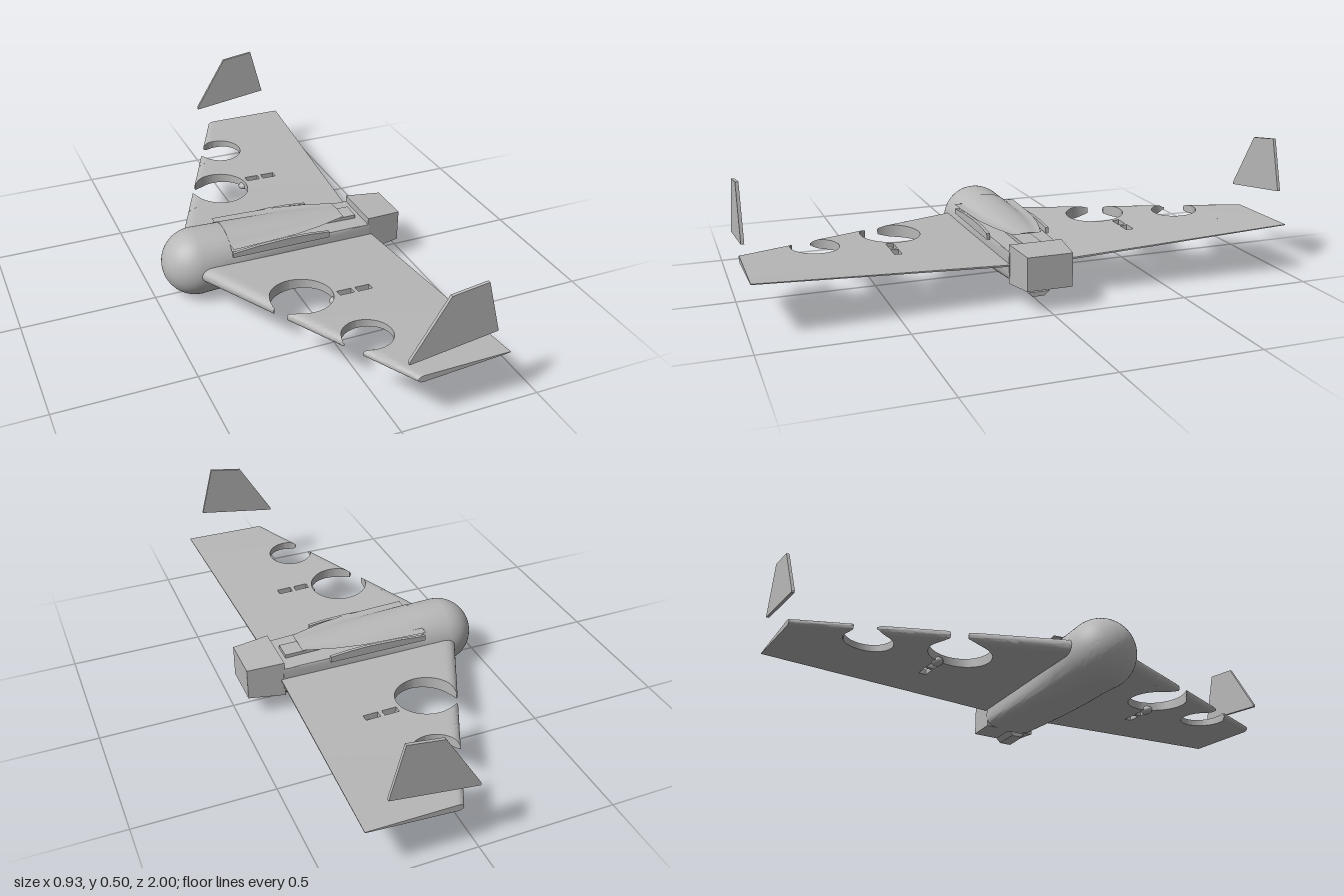
import * as THREE from 'three';
import { toCreasedNormals } from 'three/addons/utils/BufferGeometryUtils.js';

const grey = new THREE.MeshStandardMaterial({ color: 0xb8b8b8 });
grey.name = 'foam grey';
const lerp = THREE.MathUtils.lerp;

// Solid skin over a list of equal-length rings, with closed ends
function loft(rings, crease = 0.6) {
  const pos = [], n = rings[0].length;
  const tri = (a, b, c) => pos.push(...a, ...b, ...c);
  const mid = (r) => [0, 1, 2].map((k) => r.reduce((s, p) => s + p[k], 0) / n);
  for (let i = 0; i < rings.length - 1; i++) {
    for (let j = 0; j < n; j++) {
      const k = (j + 1) % n, a = rings[i], b = rings[i + 1];
      tri(a[j], b[j], b[k]);
      tri(a[j], b[k], a[k]);
    }
  }
  const first = rings[0], last = rings[rings.length - 1], m0 = mid(first), m1 = mid(last);
  for (let j = 0; j < n; j++) {
    const k = (j + 1) % n;
    tri(m0, first[j], first[k]);
    tri(m1, last[k], last[j]);
  }
  // Turn the faces outward when the enclosed volume comes out negative
  let volume = 0;
  const v = (i) => new THREE.Vector3(pos[i] - m0[0], pos[i + 1] - m0[1], pos[i + 2] - m0[2]);
  for (let i = 0; i < pos.length; i += 9) volume += v(i).dot(v(i + 3).cross(v(i + 6)));
  if (volume < 0) {
    for (let i = 0; i < pos.length; i += 9) {
      for (let k = 0; k < 3; k++) [pos[i + 3 + k], pos[i + 6 + k]] = [pos[i + 6 + k], pos[i + 3 + k]];
    }
  }
  const g = new THREE.BufferGeometry();
  g.setAttribute('position', new THREE.Float32BufferAttribute(pos, 3));
  return toCreasedNormals(g, crease);
}

// Superellipse fuselage section, cut off below lo and above hi
function section(x, bottom, top, w, e, lo = -1, hi = 1) {
  const ring = [], yc = (bottom + top) / 2, h = (top - bottom) / 2;
  const pow = (c) => Math.sign(c) * Math.abs(c) ** (2 / e);
  for (let i = 0; i < 64; i++) {
    const a = (i / 64) * Math.PI * 2;
    const y = yc + h * pow(Math.sin(a));
    ring.push([x, Math.min(hi, Math.max(lo, y)), w * pow(Math.cos(a))]);
  }
  return ring;
}

// Wing plan and aerofoil
const leading = (z) => lerp(-0.365, 0.055, (z - 0.1) / 0.885);
const trailing = (z) => lerp(0.34, 0.385, (z - 0.1) / 0.885);
function wingY(x, z, side) {
  const t = (z - 0.1) / 0.885;
  const s = THREE.MathUtils.clamp((x - leading(z)) / (trailing(z) - leading(z)), 0, 1);
  const nose = 0.06;
  const shape = s < nose ? Math.sqrt(1 - (1 - s / nose) ** 2) : 1 - 0.9 * (s - nose) / (1 - nose);
  return lerp(lerp(0.127, 0.177, t), lerp(0.137, 0.19, t), s) + side * lerp(0.029, 0.012, t) * shape;
}

// Piece of wing between two stations and two chordwise limits
function wingPanel(z0, z1, front, back, sign) {
  const rings = [], steps = 14, n = 20;
  for (let i = 0; i <= steps; i++) {
    const z = lerp(z0, z1, (1 - Math.cos((i / steps) * Math.PI)) / 2);
    const a = front(z), b = Math.max(back(z), a + 0.001), ring = [];
    for (let j = 0; j <= n; j++) {
      const x = lerp(a, b, (j / n) ** 2);
      ring.push([x, wingY(x, z, 1) + 0.0003, sign * z]);
    }
    for (let j = n; j >= 0; j--) {
      const x = lerp(a, b, (j / n) ** 2);
      ring.push([x, wingY(x, z, -1) - 0.0003, sign * z]);
    }
    rings.push(ring);
  }
  return loft(rings);
}

// Plate with an outline in x and y, centred on a z position
function plate(points, depth, z) {
  const shape = new THREE.Shape(points.map((p) => new THREE.Vector2(...p)));
  return new THREE.ExtrudeGeometry(shape, { depth, bevelEnabled: false }).translate(0, 0, z - depth / 2);
}

export function createModel() {
  const model = new THREE.Group();
  const add = (name, geometry, parent = model) => {
    const mesh = new THREE.Mesh(geometry, grey);
    mesh.name = name;
    parent.add(mesh);
    return mesh;
  };

  // Round nose running back to the start of the hatch slot
  const bottomAt = (x) => lerp(0, 0.08, (x + 0.34) / 0.8);
  const topAt = (x) => lerp(0.252, 0.217, (x + 0.34) / 0.57);
  const widthAt = (x) => lerp(0.126, 0.1, (x + 0.34) / 0.665);
  const noseRings = [];
  for (let i = 0; i <= 14; i++) {
    const a = (i / 14) * Math.PI / 2, r = Math.max(0.001, 0.126 * Math.sin(a));
    noseRings.push(section(-0.339 - 0.126 * Math.cos(a), 0.126 - r, 0.126 + r, r, 2));
  }
  noseRings.push(section(-0.23, bottomAt(-0.23), topAt(-0.23), widthAt(-0.23), 2.15));
  add('nose', loft(noseRings));

  // Lower hull, flat on top
  const hullRings = [];
  for (let i = 0; i <= 10; i++) {
    const t = i / 10, x = lerp(-0.23, 0.33, t);
    hullRings.push(section(x, bottomAt(x), topAt(x), widthAt(x), lerp(2.15, 5, t), -1, lerp(0.197, 0.183, t)));
  }
  add('hull', loft(hullRings));

  // Canopy tapering to the rear above the slot
  const canopyRings = [[-0.23, 0.122], [-0.1, 0.116], [0.02, 0.108], [0.12, 0.09], [0.24, 0.055]].map(([x, w]) =>
    section(x, lerp(0.01, 0.17, (x + 0.23) / 0.47), topAt(x) + 0.002, w, 2.15, 0.2155));
  add('canopy', loft(canopyRings));

  // Tray on the deck, and the square tail block
  add('tray', new THREE.BoxGeometry(0.46, 0.03, 0.07).translate(0.07, 0.183, 0));
  const block = (x, y0, y1, w) => [[x, y0, -w], [x, y0, w], [x, y1, w], [x, y1, -w]];
  add('tailBlock', loft([block(0.325, 0.067, 0.209, 0.098), block(0.463, 0.08, 0.201, 0.083)], 0.3));

  // Small trapezoid scoop below the tail
  const scoop = (x, y0, w) => [[x, y0, -w * 0.55], [x, y0, w * 0.55], [x, 0.037, w], [x, 0.037, -w]];
  add('scoop', loft([scoop(0.265, 0.021, 0.03), scoop(0.28, 0.02, 0.04), scoop(0.36, 0.02, 0.04)], 0.3));

  // Wings with two round openings through the leading edge
  const holes = [
    { x: -0.09, z: 0.418, r: 0.112, gap: [0.44, 0.495] },
    { x: 0.015, z: 0.717, r: 0.087, gap: [0.72, 0.79] },
  ];
  for (const [side, sign] of [['left', 1], ['right', -1]]) {
    // The nose points to -x, so +z is labelled left here
    const wing = new THREE.Group();
    wing.name = side + 'Wing';
    model.add(wing);
    const panel = (z0, z1, front, back) => add('wingPanel', wingPanel(z0, z1, front, back, sign), wing);
    const edge = (h, dir) => (z) => h.x + dir * Math.sqrt(Math.max(0, h.r ** 2 - (z - h.z) ** 2));
    const [big, small] = holes;
    panel(0.1, big.z - big.r, leading, trailing);
    panel(big.z + big.r, small.z - small.r, leading, trailing);
    panel(small.z + small.r, 0.985, leading, trailing);
    for (const h of holes) {
      panel(h.z - h.r, h.gap[0], leading, edge(h, -1));
      panel(h.gap[1], h.z + h.r, leading, edge(h, -1));
    }
    panel(small.z - small.r, small.z + small.r, edge(small, 1), trailing);
    // Two servo slots behind the big opening
    const bigRear = edge(big, 1);
    panel(big.z - big.r, 0.437, bigRear, trailing);
    panel(0.437, 0.465, bigRear, () => 0.035);
    panel(0.437, 0.465, () => 0.09, () => 0.105);
    panel(0.437, 0.465, () => 0.16, trailing);
    panel(0.465, big.z + big.r, bigRear, trailing);

    const pod = add('servoPod', new THREE.SphereGeometry(0.02, 20, 12), wing);
    pod.scale.set(1.3, 0.75, 1);
    pod.position.set(0.028, 0.139, sign * 0.451);

    // Upright fin floating over the wing tip
    add(side + 'Fin', plate([[0.01, 0.26], [0.317, 0.303], [0.265, 0.495], [0.138, 0.477], [0.01, 0.27]], 0.011, sign * 0.9945));

    // Side rail along the hatch slot
    add(side + 'Rail', plate([[-0.23, 0.18], [0.152, 0.18], [0.152, 0.203], [0.08, 0.21], [0, 0.213], [-0.13, 0.208], [-0.23, 0.198]], 0.012, sign * 0.114));
  }
  return model;
}
